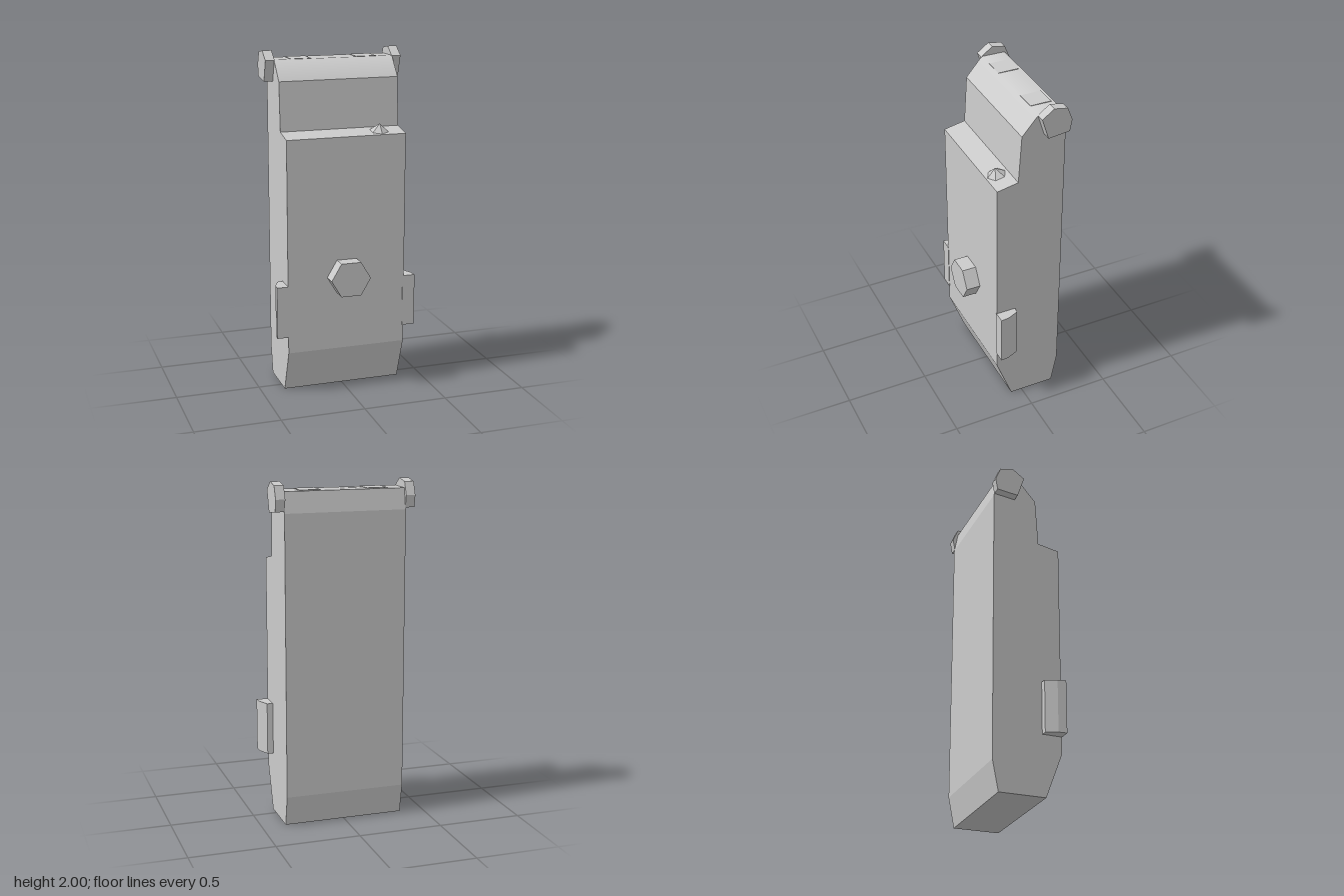
import * as THREE from 'three';

const material = new THREE.MeshStandardMaterial({ color: 0xcccccc });

function add(group, name, geometry) {
  const mesh = new THREE.Mesh(geometry, material);
  mesh.name = name;
  group.add(mesh);
  return mesh;
}

// Extrude an outline evenly about the middle of its depth.
function slab(points, depth) {
  const shape = new THREE.Shape(points.map(([x, y]) => new THREE.Vector2(x, y)));
  const geometry = new THREE.ExtrudeGeometry(shape, { depth, bevelEnabled: false });
  return geometry.translate(0, 0, -depth / 2);
}

// Turn an outline drawn in (z, y) into a slab running along x.
const sideSlab = (points, width) => slab(points, width).rotateY(-Math.PI / 2);

export function createModel() {
  const group = new THREE.Group();
  const halfWidth = 0.358;

  // Main body: side profile in (z, y)
  const body = sideSlab([
    [0.07, 0], [0.167, 0.26], [0.167, 1.53], [0.04, 1.555], [0.022, 1.84],
    [-0.075, 1.952], [-0.218, 1.95], [-0.24, 1.83], [-0.24, 0.18], [-0.205, 0],
  ], halfWidth * 2);
  // Soften the shading where the sloped front meets the flat top
  const pos = body.attributes.position, nor = body.attributes.normal;
  for (let i = 0; i < pos.count; i++) {
    const onCrest = Math.abs(pos.getZ(i) + 0.075) < 1e-3 && pos.getY(i) > 1.9;
    if (onCrest && Math.abs(nor.getX(i)) < 0.5) nor.setXYZ(i, 0, 0.92, 0.39);
  }
  add(group, 'body', body);

  // Small cone-shaped stud on the sloping ledge
  const stud = add(group, 'ledgeStud', new THREE.ConeGeometry(0.061, 0.05, 6).toNonIndexed());
  stud.geometry.computeVertexNormals();
  stud.position.set(0.217, 1.562, 0.108);
  stud.rotation.x = 0.19;

  // Hexagonal button on the front
  const hexagon = Array.from({ length: 6 }, (_, i) => {
    const a = (i * Math.PI) / 3;
    return [0.12 * Math.cos(a), 0.703 + 0.116 * Math.sin(a)];
  });
  add(group, 'frontButton', slab(hexagon, 0.1).translate(0, 0, 0.202));

  for (const [side, s] of [['left', 1], ['right', -1]]) {
    // Rounded ear at the top corner
    const ear = sideSlab([
      [-0.07, 1.95], [-0.14, 2], [-0.22, 1.985], [-0.25, 1.91], [-0.237, 1.84], [-0.11, 1.825],
    ], 0.055);
    add(group, side + 'Ear', ear.translate(s * 0.383, 0, 0));

    // Side clip: plan outline in (x, z)
    const clip = slab([
      [0.35, 0.17], [0.426, 0.17], [0.421, 0.12], [0.392, 0.054], [0.35, 0.05],
    ].map(([x, z]) => [s * x, z]), 0.31);
    add(group, side + 'Clip', clip.rotateX(Math.PI / 2).translate(0, 0.515, 0));

    // Flat pad on the top face
    const pad = add(group, side + 'TopPad', new THREE.BoxGeometry(0.122, 0.008, 0.125));
    pad.position.set(s * 0.198, 1.95, -0.138);
  }
  return group;
}
